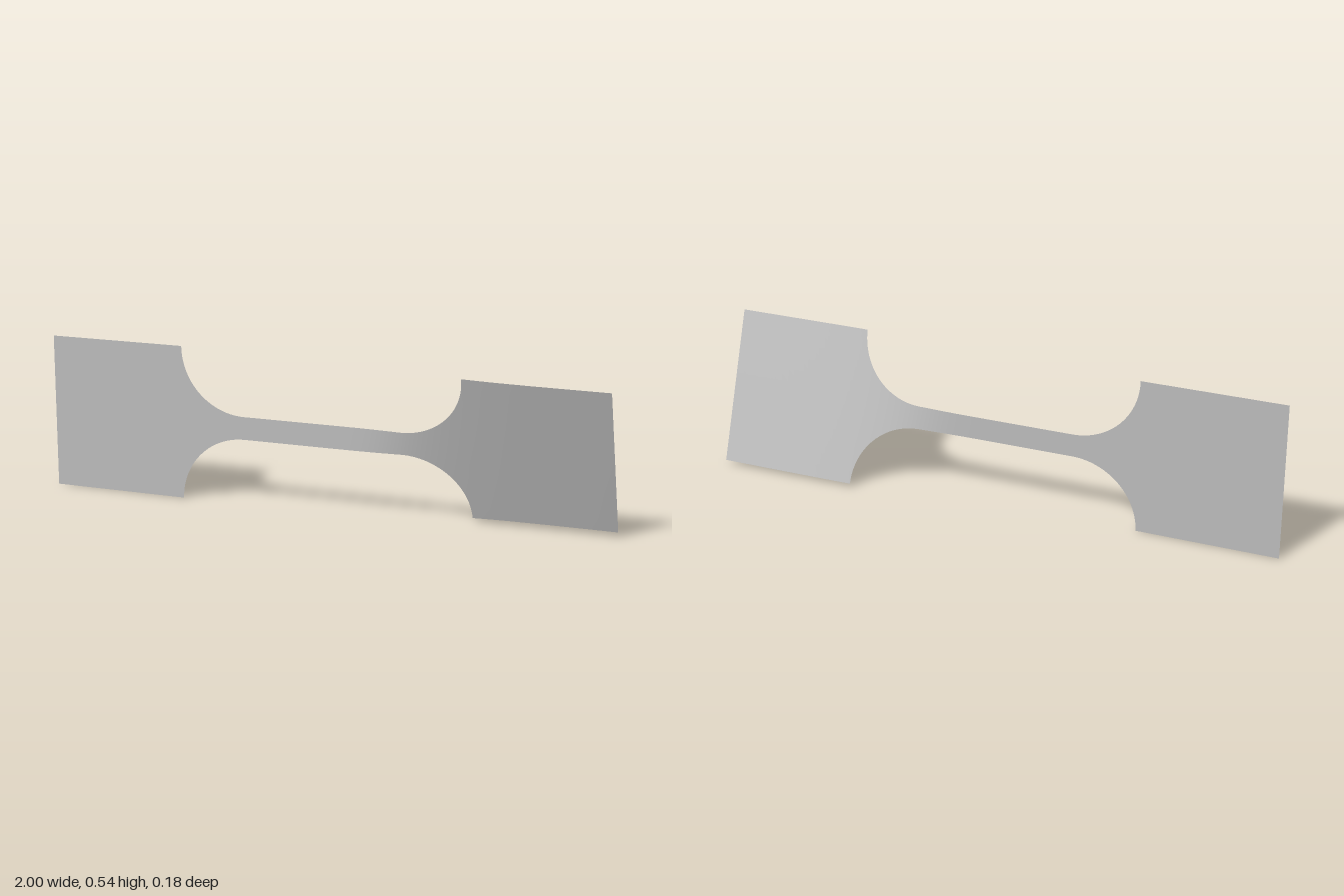
import * as THREE from 'three';

const HALF_HEIGHT = 0.27, RADIUS = 0.23, TAB_START = 0.51, ARC_START = 0.28;

// Stations [x, half height] of the right half, from the middle to the end
function halfStations() {
  const list = [];
  for (let i = 0; i < 14; i++) list.push([ARC_START * i / 14, HALF_HEIGHT - RADIUS]);
  for (let i = 0; i <= 28; i++) {
    const a = (i / 28) * Math.PI / 2; // quarter-round fillet
    list.push([ARC_START + RADIUS * Math.sin(a), HALF_HEIGHT - RADIUS * Math.cos(a)]);
  }
  for (let i = 1; i <= 12; i++) list.push([TAB_START + (1 - TAB_START) * i / 12, HALF_HEIGHT]);
  return list;
}

// Twist about the long axis: none on the right tab's opposite side, rising around the fillet
function twist(x) {
  if (x <= 0) return 0;
  const u = Math.pow(x / 0.29, 4);
  return THREE.MathUtils.degToRad(20.1) * u / (1 + u);
}

export function createModel() {
  const group = new THREE.Group();
  group.name = 'twistedTestStrip';
  const grey = new THREE.MeshStandardMaterial({ color: 0xbbbbbb, side: THREE.DoubleSide });
  grey.name = 'plain grey';

  // Mirror the outline to get the full set of stations
  const right = halfStations();
  const left = right.slice(1).reverse().map(([x, h]) => [-x, h]);
  const stations = [...left, ...right];

  // Thin sheet: each column of the grid is scaled to the outline and turned by the twist
  const columns = stations.length, rows = 13;
  const sheet = new THREE.PlaneGeometry(2, 2, columns - 1, rows - 1);
  const pos = sheet.attributes.position;
  for (let i = 0; i < pos.count; i++) {
    const [x, h] = stations[i % columns];
    const s = h * pos.getY(i), a = twist(x);
    pos.setXYZ(i, x, HALF_HEIGHT + s * Math.cos(a), s * Math.sin(a));
  }
  sheet.computeVertexNormals();

  const strip = new THREE.Mesh(sheet, grey);
  strip.name = 'dogboneSheet';
  group.add(strip);
  return group;
}
